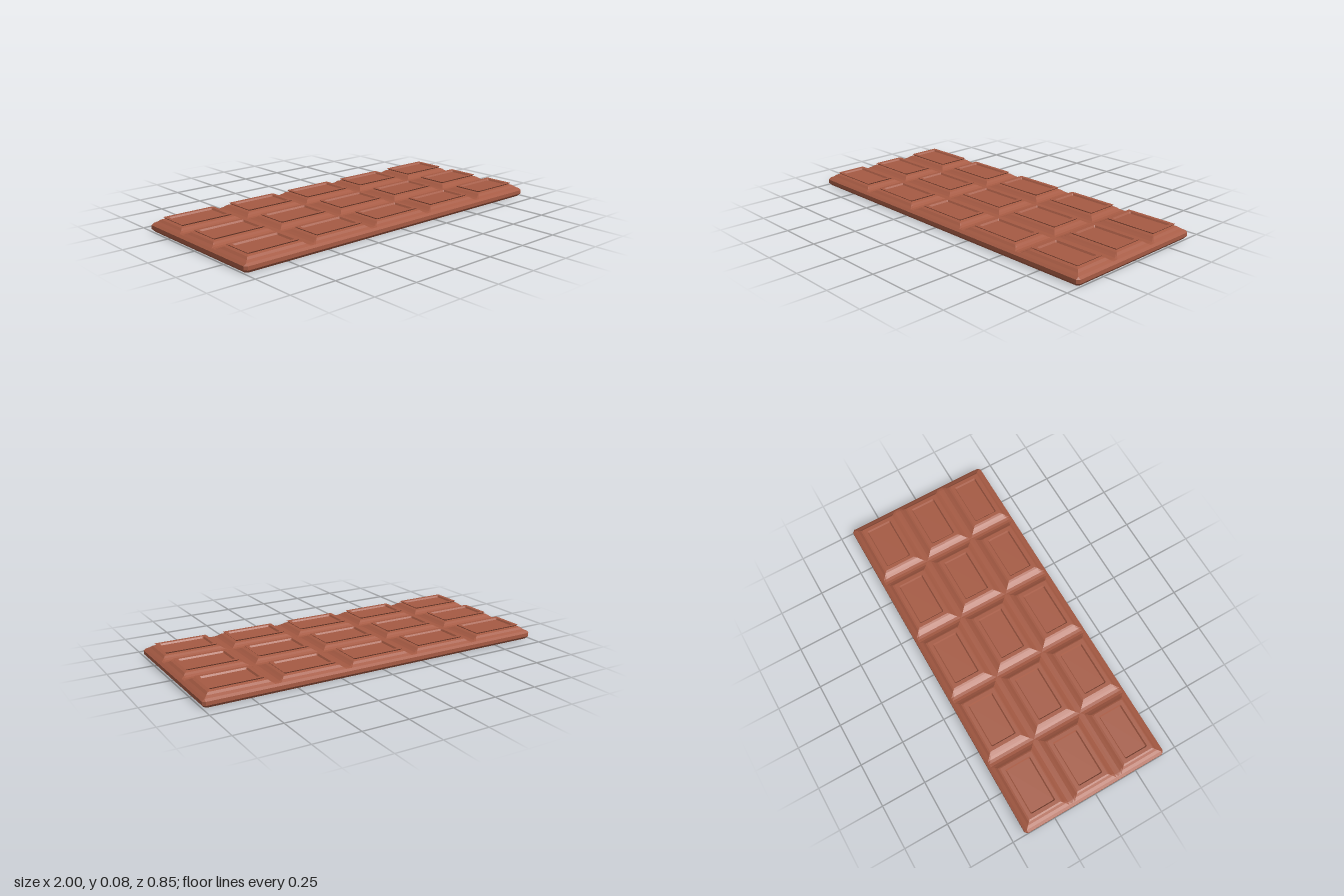
import * as THREE from 'three';

const HX = 1, HZ = 0.426, CUT = 0.014, SHOULDER = 0.064;
const GROOVES_X = [-0.596, -0.196, 0.205, 0.605];
const GROOVES_Z = [-0.138, 0.149];
// [distance, height] from the outer edge and from a groove's middle line
const EDGE = [[0, 0.035], [CUT, 0.045], [0.03, 0.054], [0.042, SHOULDER]];
const GROOVE = [[0, 0.047], [0.016, 0.049], [0.03, 0.056], [0.043, SHOULDER]];
// [inset, height] of one segment, from shoulder over the lip into the panel
const SEGMENT = [[0, SHOULDER], [0.016, 0.069], [0.008, 0.077], [0.028, 0.077], [0.034, 0.068]];

// Collects triangles; each point is [x, y, z]
class Surface {
  constructor() { this.data = []; }
  tri(a, b, c) { this.data.push(...a, ...b, ...c); }
  loft(loops) {
    for (let k = 0; k < loops.length - 1; k++) {
      const a = loops[k], b = loops[k + 1], n = a.length;
      for (let i = 0; i < n; i++) {
        const j = (i + 1) % n;
        this.tri(a[i], a[j], b[j]);
        this.tri(a[i], b[j], b[i]);
      }
    }
  }
  cap(loop, down = false) {
    for (let i = 1; i < loop.length - 1; i++) {
      if (down) this.tri(loop[0], loop[i + 1], loop[i]);
      else this.tri(loop[0], loop[i], loop[i + 1]);
    }
  }
  mesh(name, material) {
    const geometry = new THREE.BufferGeometry();
    geometry.setAttribute('position', new THREE.Float32BufferAttribute(this.data, 3));
    geometry.computeVertexNormals();
    const mesh = new THREE.Mesh(geometry, material);
    mesh.name = name;
    return mesh;
  }
}

// Rectangle with cut corners, anticlockwise from above
function cutRectangle(hx, hz, cut, y) {
  return [
    [-hx + cut, y, hz], [hx - cut, y, hz], [hx, y, hz - cut], [hx, y, -hz + cut],
    [hx - cut, y, -hz], [-hx + cut, y, -hz], [-hx, y, -hz + cut], [-hx, y, hz - cut],
  ];
}

// Height profile along one axis as sorted [position, height] pairs
function profile(half, grooves) {
  const points = [];
  for (const [d, h] of EDGE) points.push([-half + d, h], [half - d, h]);
  for (const g of grooves) {
    for (const [d, h] of GROOVE) {
      points.push([g + d, h]);
      if (d > 0) points.push([g - d, h]);
    }
  }
  return points.sort((p, q) => p[0] - q[0]);
}

// Slab: chamfered sides, flat underside and a top carved by the crossing grooves
function buildSlab(material) {
  const s = new Surface();
  const sides = [
    cutRectangle(HX - 0.013, HZ - 0.013, CUT, 0),
    cutRectangle(HX, HZ, CUT, 0.015),
    cutRectangle(HX, HZ, CUT, 0.035),
  ];
  s.loft(sides);
  s.cap(sides[0], true);

  const px = profile(HX, GROOVES_X), pz = profile(HZ, GROOVES_Z);
  const point = (i, k) => {
    let [x, hx] = px[i], [z, hz] = pz[k];
    if (Math.abs(x) === HX && Math.abs(z) === HZ) { // cut corner
      x -= Math.sign(x) * CUT / 2;
      z -= Math.sign(z) * CUT / 2;
    }
    return [x, Math.min(hx, hz), z];
  };
  for (let i = 0; i < px.length - 1; i++) {
    for (let k = 0; k < pz.length - 1; k++) {
      const a = point(i, k), b = point(i + 1, k), c = point(i, k + 1), d = point(i + 1, k + 1);
      if (Math.min(a[1], b[1], c[1], d[1]) === SHOULDER) continue; // covered by a segment
      if (a[1] + d[1] > b[1] + c[1]) { // keep the mitre on the ridge
        s.tri(c, d, a);
        s.tri(d, b, a);
      } else {
        s.tri(c, d, b);
        s.tri(c, b, a);
      }
    }
  }
  return s.mesh('slab', material);
}

// Raised segment with a lip around a sunken panel
function buildSegment(x0, x1, z0, z1, material) {
  const s = new Surface();
  const hx = (x1 - x0) / 2, hz = (z1 - z0) / 2;
  const loops = SEGMENT.map(([d, y]) => cutRectangle(hx - d, hz - d, d === 0 ? 0 : 0.004, y));
  s.loft(loops);
  s.cap(loops[loops.length - 1]);
  const mesh = s.mesh('segment', material);
  mesh.position.set((x0 + x1) / 2, 0, (z0 + z1) / 2);
  return mesh;
}

// Start and end of each plateau between the grooves
function spans(half, grooves) {
  const e = EDGE[3][0], g = GROOVE[3][0];
  const starts = [-half + e, ...grooves.map((v) => v + g)];
  const ends = [...grooves.map((v) => v - g), half - e];
  return starts.map((v, i) => [v, ends[i]]);
}

export function createModel() {
  const group = new THREE.Group();
  group.name = 'chocolateBar';
  const material = new THREE.MeshStandardMaterial({ color: 0xa55a43, flatShading: true });
  group.add(buildSlab(material));

  const segments = new THREE.Group();
  segments.name = 'segments';
  for (const [x0, x1] of spans(HX, GROOVES_X)) {
    for (const [z0, z1] of spans(HZ, GROOVES_Z)) {
      segments.add(buildSegment(x0, x1, z0, z1, material));
    }
  }
  group.add(segments);
  return group;
}
